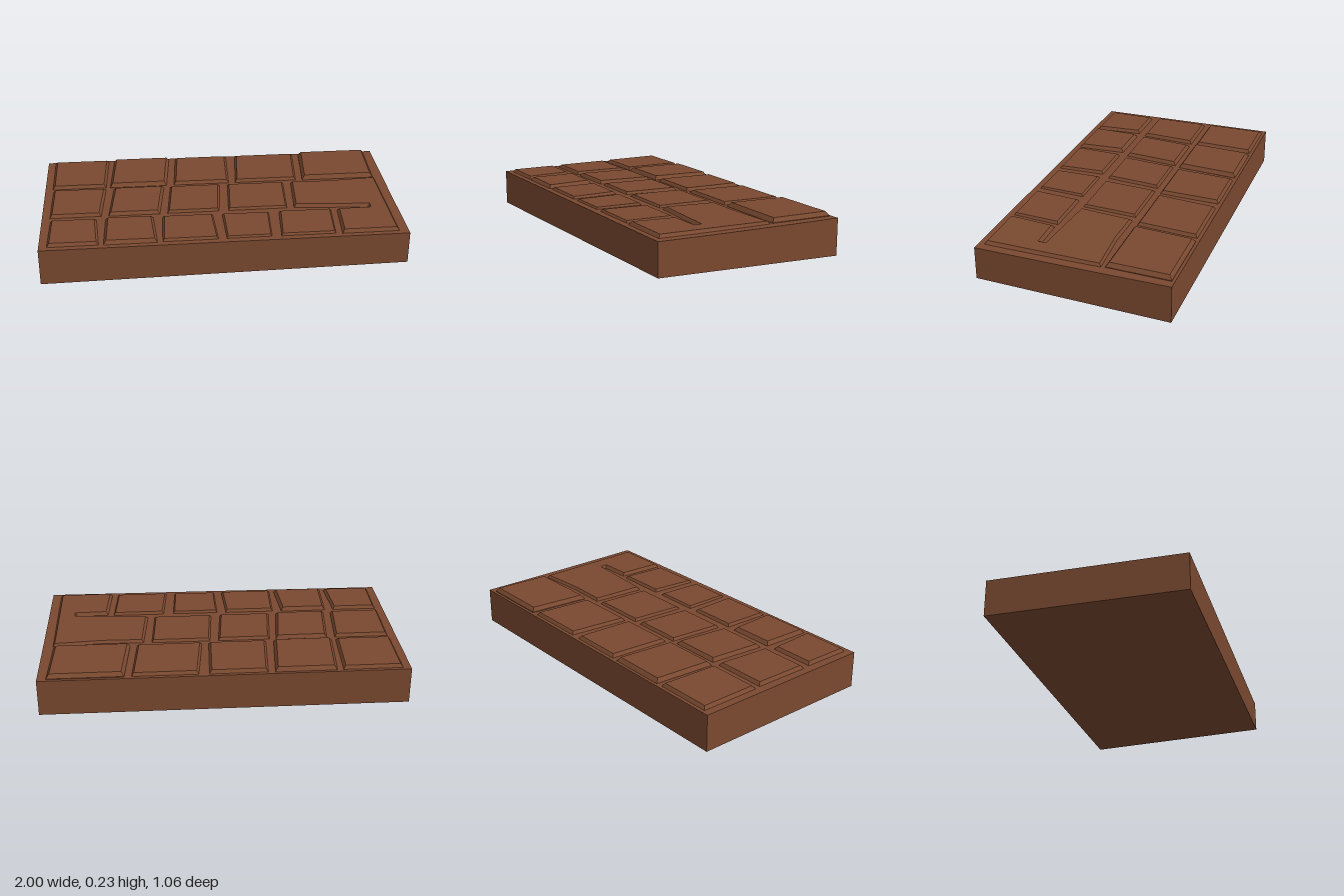
import * as THREE from 'three';

const chocolate = new THREE.MeshStandardMaterial({ color: 0x7a4930 });
chocolate.name = 'milk chocolate brown';

// Slab: a box whose front right corner is slightly lifted and pulled in
function makeSlab() {
  const geo = new THREE.BoxGeometry(2, 1, 1.062, 12, 1, 12);
  const p = geo.attributes.position;
  for (let i = 0; i < p.count; i++) {
    const u = (p.getX(i) + 1) / 2;
    const v = p.getZ(i) / 1.062 + 0.5;
    const bottom = 0.032 * u * v;
    const top = 0.204 + 0.009 * u * v * v;
    p.setY(i, p.getY(i) > 0 ? top : bottom);
    p.setX(i, -1 + u * (2 - 0.015 * v));
  }
  geo.computeVertexNormals();
  const mesh = new THREE.Mesh(geo, chocolate);
  mesh.name = 'slab';
  return mesh;
}

// Raised piece with chamfered top edges; outline is [x, z] pairs
function makePiece(outline, height, slope = 0) {
  const shape = new THREE.Shape(outline.map(([x, z]) => new THREE.Vector2(x, -z)));
  const geo = new THREE.ExtrudeGeometry(shape, {
    depth: 0.02, bevelThickness: 0.022, bevelSize: 0.016, bevelOffset: -0.016, bevelSegments: 1,
  });
  geo.rotateX(-Math.PI / 2);
  geo.translate(0, height - 0.042, 0);
  const p = geo.attributes.position;
  for (let i = 0; i < p.count; i++) p.setY(i, p.getY(i) + slope * p.getZ(i));
  geo.computeVertexNormals();
  return new THREE.Mesh(geo, chocolate);
}

// Each row: back and front z, then per piece [backLeft, backRight, frontLeft, frontRight, height]
const rows = [
  { name: 'backPiece', z0: -0.515, z1: -0.165, pieces: [
    [-0.96, -0.63, -0.96, -0.645, 0.222],
    [-0.60, -0.265, -0.625, -0.295, 0.227],
    [-0.23, 0.09, -0.255, 0.075, 0.222],
    [0.14, 0.505, 0.105, 0.475, 0.221],
    [0.54, 0.95, 0.51, 0.935, 0.23],
  ] },
  { name: 'middlePiece', z0: -0.138, z1: 0.185, pieces: [
    [-0.955, -0.645, -0.96, -0.67, 0.222],
    [-0.605, -0.31, -0.635, -0.345, 0.224],
    [-0.28, 0.02, -0.31, -0.01, 0.22],
    [0.055, 0.395, 0.03, 0.375, 0.219],
  ] },
  { name: 'frontPiece', z0: 0.222, z1: 0.502, pieces: [
    [-0.955, -0.695, -0.96, -0.68, 0.222],
    [-0.65, -0.385, -0.66, -0.37, 0.226],
    [-0.34, -0.05, -0.35, -0.04, 0.221],
    [-0.01, 0.265, -0.01, 0.25, 0.219],
    [0.31, 0.615, 0.285, 0.595, 0.222],
  ] },
];

export function createModel() {
  const bar = new THREE.Group();
  bar.name = 'chocolateBar';
  bar.add(makeSlab());

  for (const { name, z0, z1, pieces } of rows) {
    pieces.forEach(([bl, br, fl, fr, h], i) => {
      const piece = makePiece([[bl, z0], [br, z0], [fr, z1], [fl, z1]], h);
      piece.name = name + (i + 1);
      bar.add(piece);
    });
  }

  // Two right-hand pieces joined where the groove between them fades out
  const joined = makePiece([
    [0.43, -0.135], [0.66, -0.13], [0.945, -0.15], [0.938, 0.502], [0.62, 0.502], [0.64, 0.23],
    [0.82, 0.226], [0.82, 0.212], [0.64, 0.2], [0.405, 0.182],
  ], 0.222, 0.016);
  joined.name = 'joinedPiece';
  bar.add(joined);

  return bar;
}
